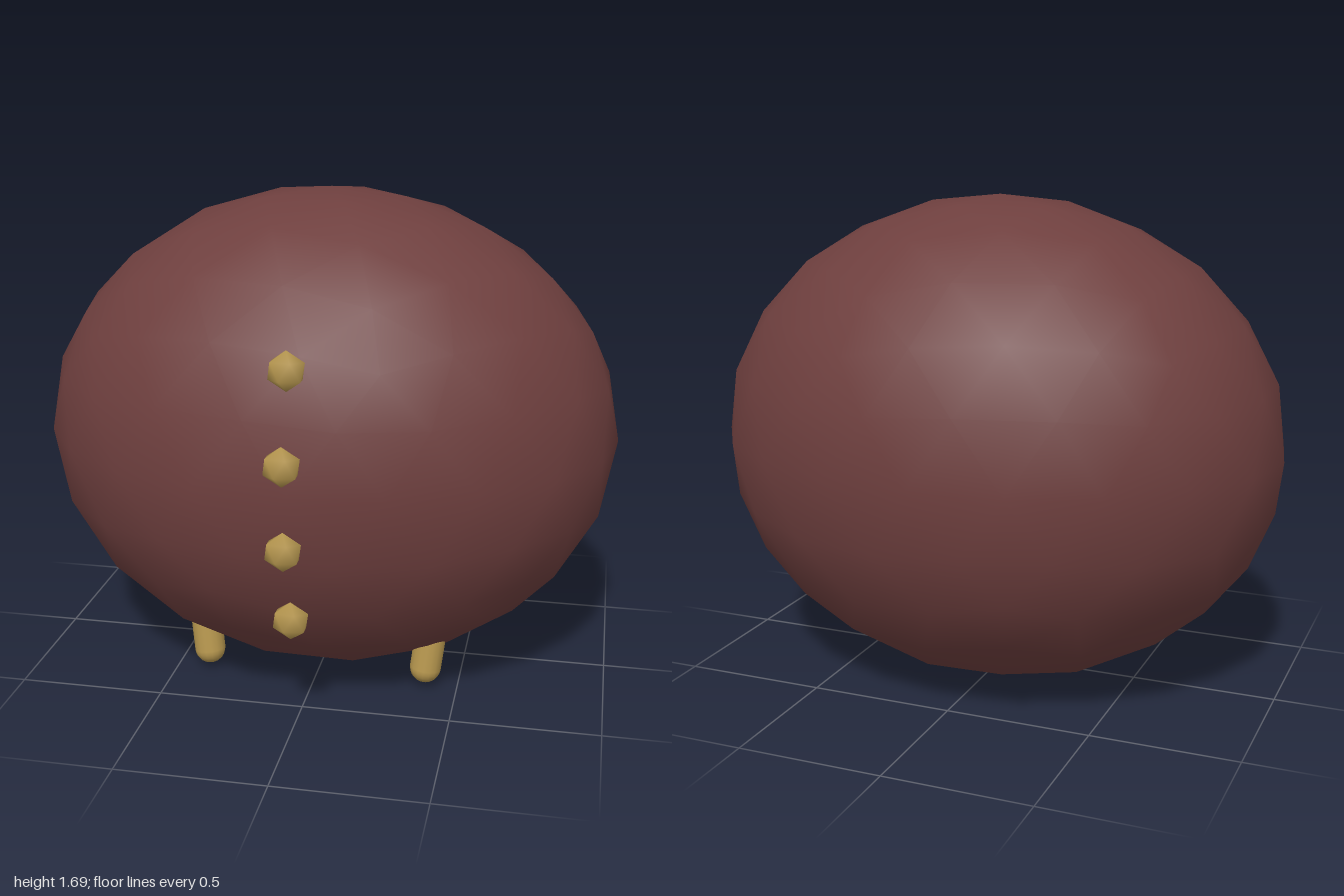
import * as THREE from 'three';
import { mergeVertices } from 'three/addons/utils/BufferGeometryUtils.js';

// Smooth icosphere with a corner on +y, stretched to the given radii
function icoBall(rx, ry, rz, detail) {
  let geometry = new THREE.IcosahedronGeometry(1, detail);
  geometry.deleteAttribute('uv');
  geometry.deleteAttribute('normal');
  geometry = mergeVertices(geometry, 1e-4);
  geometry.rotateZ(-Math.atan(2 / (1 + Math.sqrt(5))));
  geometry.scale(rx, ry, rz);
  geometry.computeVertexNormals();
  return geometry;
}

export function createModel() {
  const model = new THREE.Group();
  model.name = 'buttonedBall';

  const maroon = new THREE.MeshStandardMaterial({ color: 0x6e3f3e });
  maroon.name = 'maroon';
  const gold = new THREE.MeshStandardMaterial({ color: 0xb8984f });
  gold.name = 'gold';

  // Body
  const body = new THREE.Mesh(icoBall(1, 0.843, 0.775, 3), maroon);
  body.name = 'body';
  body.position.set(0, 0.846, -0.025);
  model.add(body);

  // Row of flattened buttons down the front: [y, z]
  const buttonGeometry = icoBall(0.065, 0.065, 0.034, 0);
  [[1.238, 0.695], [0.96, 0.775], [0.68, 0.767], [0.402, 0.667]].forEach(([y, z], i) => {
    const button = new THREE.Mesh(buttonGeometry, gold);
    button.name = `button${i + 1}`;
    button.position.set(0, y, z);
    model.add(button);
  });

  // Stubby feet with rounded tips, leaning slightly inwards
  const footGeometry = new THREE.CapsuleGeometry(0.054, 0.11, 6, 16);
  footGeometry.translate(0, 0.055, 0);
  for (const side of [1, -1]) {
    const foot = new THREE.Mesh(footGeometry, gold);
    foot.name = side > 0 ? 'leftFoot' : 'rightFoot';
    foot.position.set(side * 0.388, 0.07, 0.26);
    foot.rotation.set(-0.1, 0, side * -0.12);
    model.add(foot);
  }

  return model;
}
